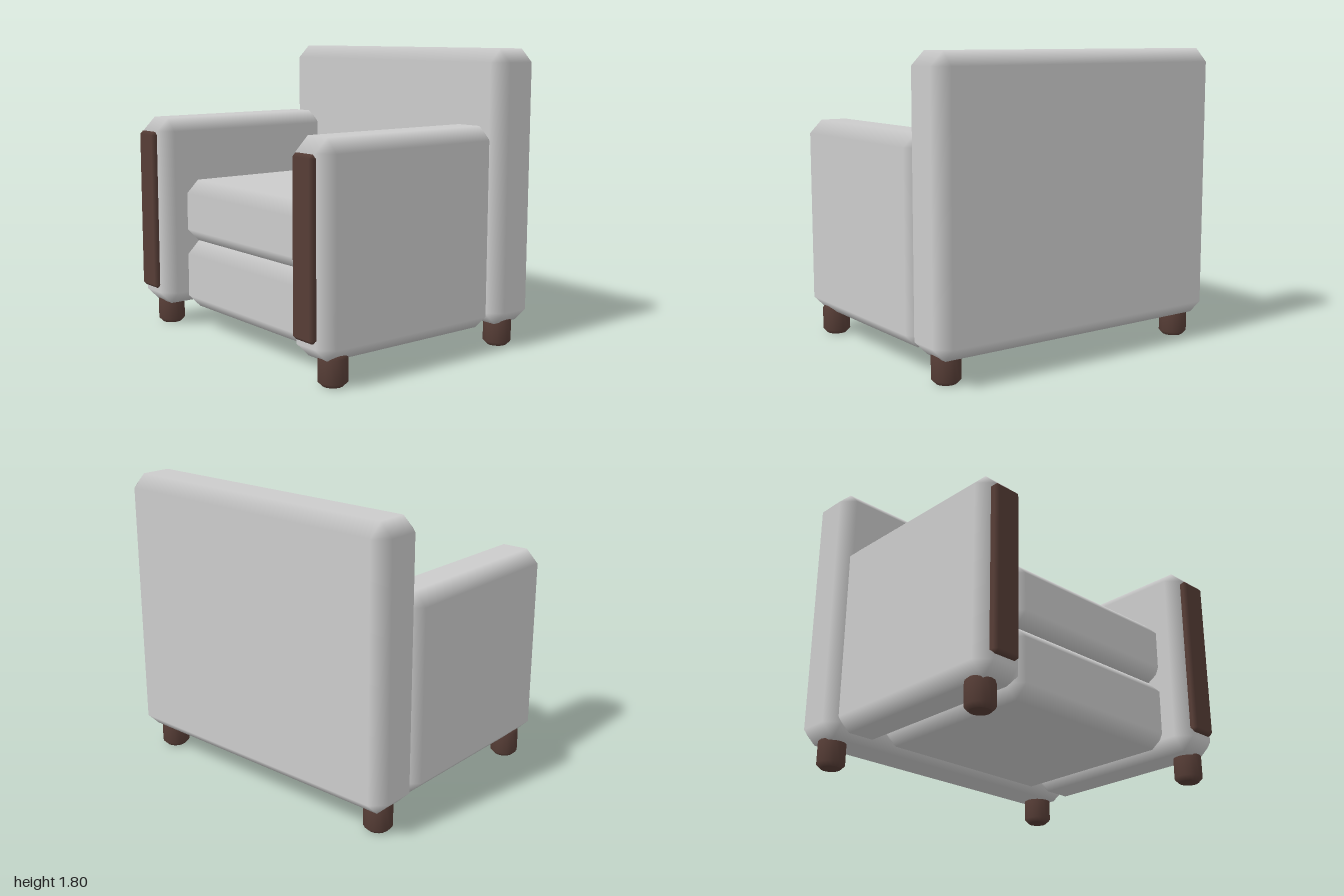
import * as THREE from 'three';
import { ConvexGeometry } from 'three/addons/geometries/ConvexGeometry.js';

const fabric = new THREE.MeshStandardMaterial({ color: 0xcccccc });
const wood = new THREE.MeshStandardMaterial({ color: 0x563d36 });

// Box with a single chamfer on every edge; faces stay flat and the chamfers shade softly.
function chamferedBox(name, material, [x0, x1], [y0, y1], [z0, z1], bevel) {
  const half = [(x1 - x0) / 2, (y1 - y0) / 2, (z1 - z0) / 2];
  const points = [];
  for (const sx of [-1, 1]) for (const sy of [-1, 1]) for (const sz of [-1, 1]) {
    const sign = [sx, sy, sz];
    for (let axis = 0; axis < 3; axis++) {
      points.push(new THREE.Vector3(...sign.map((s, i) => s * (half[i] - (i === axis ? 0 : bevel)))));
    }
  }
  const geometry = new ConvexGeometry(points);
  // each corner point takes the normal of the flat face it lies on
  const { position, normal } = geometry.attributes;
  for (let i = 0; i < position.count; i++) {
    const n = half.map((h, a) => {
      const v = position.getComponent(i, a);
      return Math.abs(Math.abs(v) - h) < 1e-4 ? Math.sign(v) : 0;
    });
    normal.setXYZ(i, ...n);
  }
  const mesh = new THREE.Mesh(geometry, material);
  mesh.position.set((x0 + x1) / 2, (y0 + y1) / 2, (z0 + z1) / 2);
  mesh.name = name;
  return mesh;
}

export function createModel() {
  const chair = new THREE.Group();
  chair.name = 'armchair';

  // Backrest, seat base and loose cushion (the seat opens toward -x)
  chair.add(
    chamferedBox('backrest', fabric, [0.475, 0.82], [0.15, 1.8], [-1, 1], 0.08),
    chamferedBox('seatBase', fabric, [-0.68, 0.5], [0.15, 0.58], [-0.645, 0.65], 0.08),
    chamferedBox('seatCushion', fabric, [-0.68, 0.5], [0.58, 0.97], [-0.645, 0.65], 0.08),
  );

  // Armrests with a wooden panel on each front end
  for (const [side, z, panelZ] of [['left', -0.82, -0.83], ['right', 0.813, 0.81]]) {
    chair.add(
      chamferedBox(side + 'Armrest', fabric, [-0.79, 0.5], [0.15, 1.355], [z - 0.163, z + 0.163], 0.08),
      chamferedBox(side + 'ArmPanel', wood, [-0.82, -0.75], [0.26, 1.27], [panelZ - 0.09, panelZ + 0.09], 0.02),
    );
  }

  // Round feet with chamfered rims
  const profile = [[0, 0], [0.06, 0], [0.06, 0], [0.085, 0.025], [0.085, 0.16], [0.06, 0.185], [0, 0.185]]
    .map(([r, y]) => new THREE.Vector2(r, y));
  const legGeometry = new THREE.LatheGeometry(profile, 16);
  for (const x of [-0.64, 0.65]) for (const z of [-0.857, 0.857]) {
    const leg = new THREE.Mesh(legGeometry, wood);
    leg.position.set(x, 0, z);
    leg.name = x < 0 ? 'frontLeg' : 'backLeg';
    chair.add(leg);
  }
  return chair;
}
